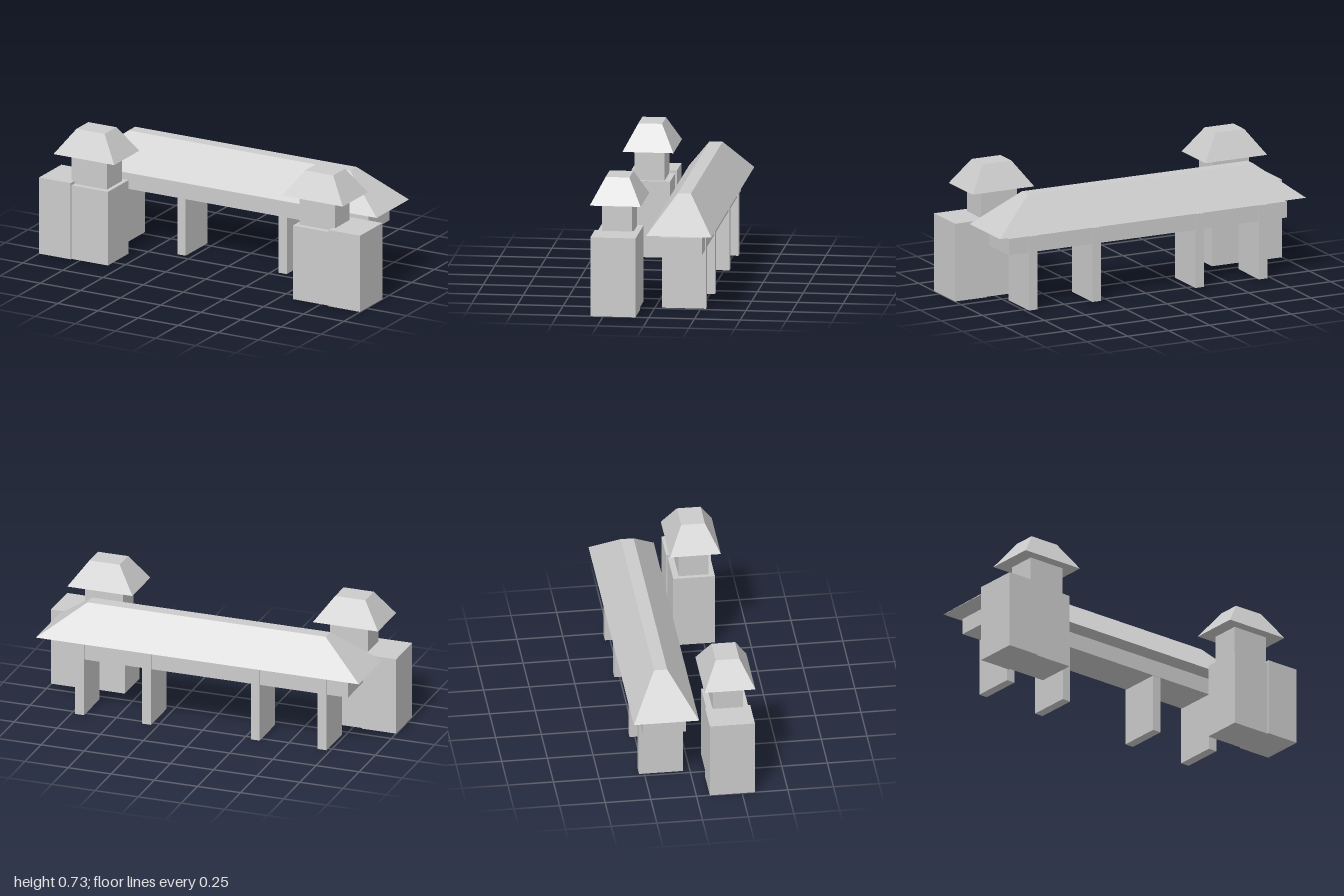
import * as THREE from 'three';

const material = new THREE.MeshStandardMaterial({ color: 0xcccccc, flatShading: true });

// Box given by its extents on each axis
function block(name, [x0, x1], [y0, y1], [z0, z1]) {
  const mesh = new THREE.Mesh(new THREE.BoxGeometry(x1 - x0, y1 - y0, z1 - z0), material);
  mesh.position.set((x0 + x1) / 2, (y0 + y1) / 2, (z0 + z1) / 2);
  mesh.name = name;
  return mesh;
}

// Hipped roof: a box whose top face is shrunk to topX by topZ
function hipRoof(name, xs, ys, zs, topX, topZ) {
  const mesh = block(name, xs, ys, zs);
  const p = mesh.geometry.attributes.position;
  for (let i = 0; i < p.count; i++) {
    if (p.getY(i) > 0) {
      p.setX(i, Math.sign(p.getX(i)) * topX / 2);
      p.setZ(i, Math.sign(p.getZ(i)) * topZ / 2);
    }
  }
  mesh.geometry.computeVertexNormals();
  return mesh;
}

// Extents on the +x side, or swapped and negated for the -x side
const side = (s, a, b) => (s > 0 ? [a, b] : [-b, -a]);

export function createModel() {
  const model = new THREE.Group();
  model.name = 'gatehouse';

  // Long hall: lintel, floating hipped roof and four wall piers
  const hall = new THREE.Group();
  hall.name = 'hall';
  hall.add(block('lintel', [-0.85, 0.85], [0.325, 0.416], [-0.273, -0.037]));
  hall.add(hipRoof('hallRoof', [-0.936, 0.936], [0.44, 0.628], [-0.334, 0.023], 1.38, 0.072));
  for (const x of [-0.703, -0.315, 0.315, 0.703]) {
    hall.add(block('pier', [x - 0.026, x + 0.026], [0, 0.415], [-0.279, -0.039]));
  }
  model.add(hall);

  // Flanking towers, mirrored about x = 0
  for (const s of [1, -1]) {
    const tower = new THREE.Group();
    tower.name = s > 0 ? 'leftTower' : 'rightTower';
    tower.add(block('outerBase', side(s, 0.803, 1), [0, 0.437], [0.073, 0.32]));
    tower.add(block('innerBase', side(s, 0.576, 0.803), [0, 0.422], [0.082, 0.311]));
    tower.add(block('turret', side(s, 0.6, 0.82), [0.41, 0.592], [0.115, 0.279]));
    tower.add(hipRoof('turretRoof', side(s, 0.523, 0.901), [0.592, 0.732], [0.057, 0.336], 0.175, 0.13));
    model.add(tower);
  }
  return model;
}
